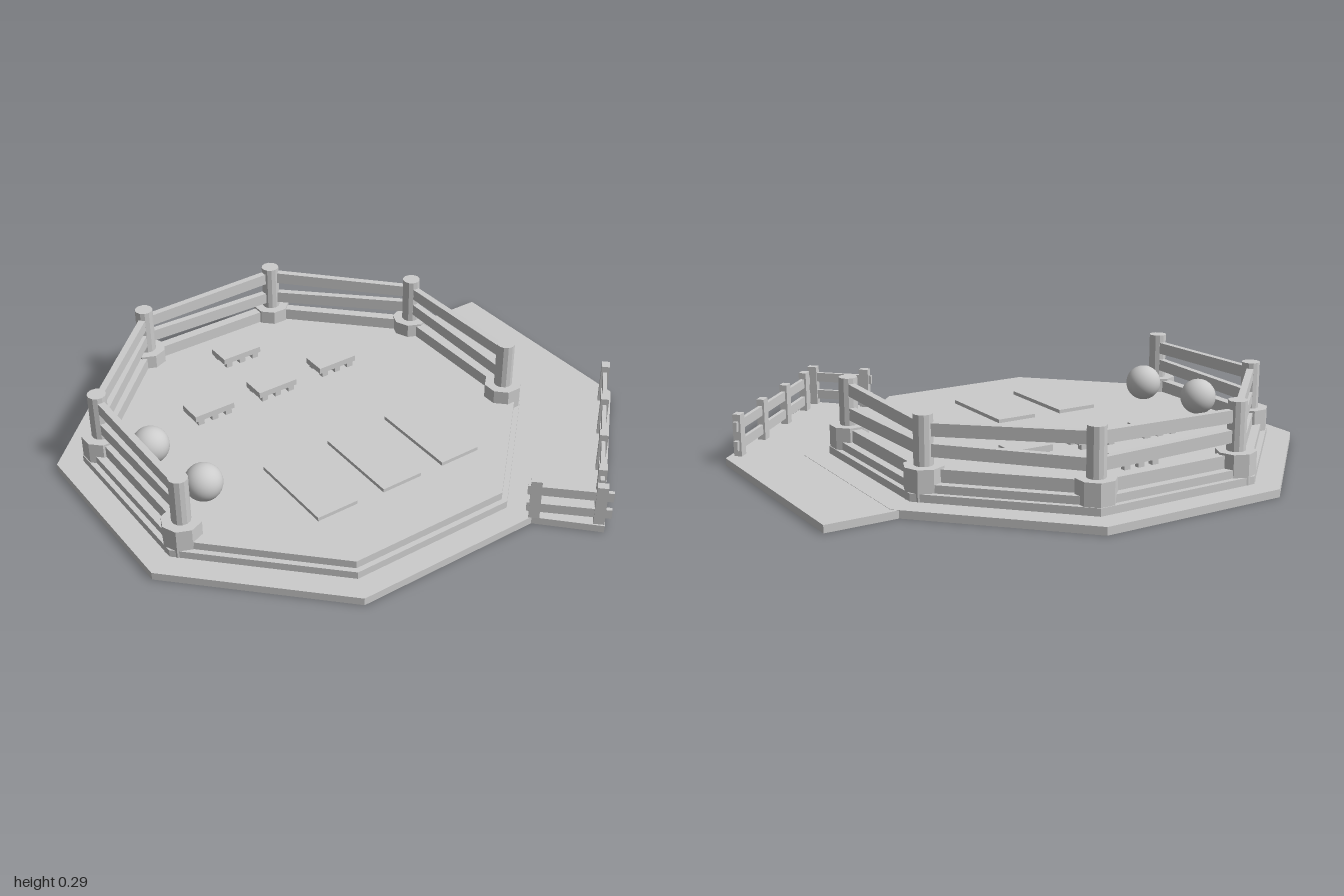
import * as THREE from 'three';

const CX = -0.13;            // centre of the octagonal deck
const FLOOR = 0.08;
const mat = new THREE.MeshStandardMaterial({ color: 0xcccccc, flatShading: true });
const smooth = new THREE.MeshStandardMaterial({ color: 0xcccccc });

function add(parent, name, geo, x = 0, y = 0, z = 0, ry = 0, material = mat) {
  const m = new THREE.Mesh(geo, material);
  m.name = name;
  m.position.set(x, y, z);
  m.rotation.y = ry;
  parent.add(m);
  return m;
}

// Corner of an octagon around the deck centre, as [x, z]
const corner = (r, i) => [CX + r * Math.cos(i * Math.PI / 4), r * Math.sin(i * Math.PI / 4)];
const octagon = r => Array.from({ length: 8 }, (_, i) => corner(r, i));

// Flat plate cut from an outline of [x, z] points, with an optional hole
function plate(points, y0, y1, hole) {
  const vec = p => new THREE.Vector2(p[0], -p[1]);
  const shape = new THREE.Shape(points.map(vec));
  if (hole) shape.holes.push(new THREE.Path(hole.map(vec)));
  const geo = new THREE.ExtrudeGeometry(shape, { depth: y1 - y0, bevelEnabled: false });
  geo.rotateX(-Math.PI / 2);
  geo.translate(0, y0, 0);
  return geo;
}

// Straight bar between two [x, z] points; ya and yb are its centre heights
function bar(parent, name, a, b, ya, yb, height, thick, extra = 0) {
  const from = new THREE.Vector3(a[0], ya, a[1]);
  const to = new THREE.Vector3(b[0], yb, b[1]);
  const m = add(parent, name, new THREE.BoxGeometry(thick, height, from.distanceTo(to) + extra));
  m.position.copy(from).add(to).multiplyScalar(0.5);
  m.lookAt(to);
  return m;
}

// Low fence: square posts at the given fractions, with two rails through them
function lowFence(parent, name, a, b, fractions) {
  const fence = new THREE.Group();
  fence.name = name;
  const dx = b[0] - a[0], dz = b[1] - a[1];
  const ry = Math.atan2(dx, dz);
  for (const t of fractions) {
    add(fence, 'fencePost', new THREE.BoxGeometry(0.028, 0.147, 0.036), a[0] + dx * t, 0.1, a[1] + dz * t, ry);
  }
  for (const y of [0.065, 0.133]) bar(fence, 'fenceRail', a, b, y, y, 0.034, 0.014);
  parent.add(fence);
}

export function createModel() {
  const model = new THREE.Group();

  // Stepped octagonal deck, hollow underneath
  add(model, 'baseRing', plate(octagon(0.87), 0, 0.027, octagon(0.765)));
  add(model, 'stepRing', plate(octagon(0.78), 0.027, 0.053, octagon(0.745)));
  add(model, 'floor', plate(octagon(0.76), 0.053, FLOOR));

  // Side platform wrapped around the right-hand corner
  add(model, 'sidePlatform', plate(
    [[0.46, -0.625], [0.69, -0.72], [1, 0], [0.7, 0.71], [0.485, 0.615], [0.74, 0], [0.485, -0.615]], 0, 0.026));

  // Main posts on octagonal footings; the two front corners stay open
  const postCorners = [3, 4, 5, 6, 7, 8];
  for (const i of postCorners) {
    const [x, z] = corner(0.71, i);
    add(model, 'postFooting', new THREE.CylinderGeometry(0.067, 0.067, 0.125, 8), x, 0.0675, z, Math.PI / 8 * (i % 2));
    add(model, 'post', new THREE.CylinderGeometry(0.032, 0.032, 0.19, 12), x, 0.2, z);
  }

  // Slightly uneven rails and a kerb between neighbouring posts
  postCorners.slice(0, -1).forEach((i, n) => {
    const a = corner(0.71, i), b = corner(0.71, i + 1);
    const tilt = n % 2 ? 0.005 : -0.005;
    bar(model, 'topRail', a, b, 0.25 + tilt, 0.25 - tilt, 0.042, 0.024);
    bar(model, 'middleRail', a, b, 0.175 - tilt, 0.175 + tilt, 0.042, 0.024);
    bar(model, 'kerb', a, b, 0.1, 0.1, 0.045, 0.035);
  });

  // Low fences along the platform
  lowFence(model, 'longFence', [0.965, 0], [0.71, 0.63], [0.05, 0.35, 0.66, 0.94]);
  lowFence(model, 'shortFence', [0.47, 0.598], [0.725, 0.698], [0.1, 0.86]);

  // Mats on the floor
  const turn = Math.PI / 8;
  for (const [x, z] of [[-0.197, 0.37], [0.04, 0.275], [0.264, 0.18]]) {
    add(model, 'mat', new THREE.BoxGeometry(0.152, 0.014, 0.322), x, FLOOR + 0.006, z, turn);
  }

  // Small benches on stub legs
  for (const [x, z] of [[-0.31, -0.445], [0.02, -0.31], [-0.22, -0.205], [-0.46, -0.11]]) {
    const bench = new THREE.Group();
    bench.name = 'bench';
    bench.position.set(x, FLOOR, z);
    bench.rotation.y = turn;
    add(bench, 'benchTop', new THREE.BoxGeometry(0.155, 0.022, 0.088), 0, 0.029, 0);
    for (const lx of [-0.055, 0, 0.055]) {
      for (const lz of [-0.033, 0.033]) {
        add(bench, 'benchLeg', new THREE.BoxGeometry(0.024, 0.022, 0.02), lx, 0.009, lz);
      }
    }
    model.add(bench);
  }

  // Two balls
  for (const [x, z] of [[-0.685, 0.115], [-0.54, 0.35]]) {
    add(model, 'ball', new THREE.SphereGeometry(0.064, 32, 20), x, FLOOR + 0.064, z, 0, smooth);
  }

  return model;
}
